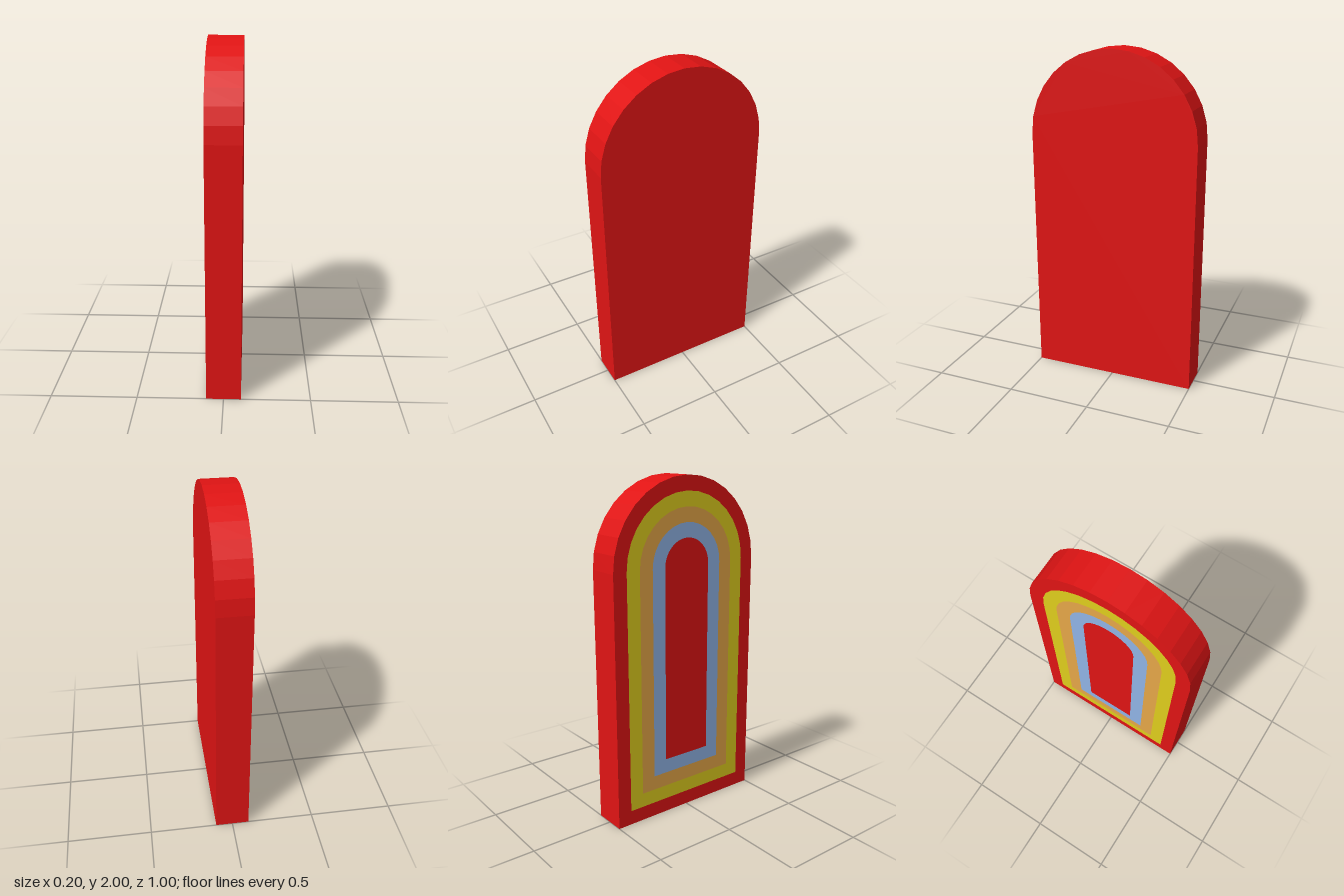
import * as THREE from 'three';

const HALF_DEPTH = 0.1, RADIUS = 0.5, SPRING = 1.5, SEGMENTS = 16, BAND = 0.086;

const material = (color) =>
  new THREE.MeshStandardMaterial({ color, flatShading: true, side: THREE.DoubleSide });

// Arch outline moved inwards by an inset: foot, half circle, foot
function archPoints(inset) {
  const r = RADIUS - inset;
  const points = [new THREE.Vector2(r, inset)];
  for (let i = 0; i <= SEGMENTS; i++) {
    const a = (Math.PI * i) / SEGMENTS;
    points.push(new THREE.Vector2(r * Math.cos(a), SPRING + r * Math.sin(a)));
  }
  points.push(new THREE.Vector2(-r, inset));
  return points;
}

// Flat arch panel on one side (+1 or -1 in x), optionally cut out to a ring
function panel(name, mat, side, inset, holeInset) {
  const shape = new THREE.Shape(archPoints(inset));
  if (holeInset !== undefined) shape.holes.push(new THREE.Path(archPoints(holeInset)));
  const geometry = new THREE.ShapeGeometry(shape);
  geometry.rotateY((side * Math.PI) / 2);
  geometry.translate(side * HALF_DEPTH, 0, 0);
  const mesh = new THREE.Mesh(geometry, mat);
  mesh.name = name;
  return mesh;
}

// Strip following the outer arch; the bottom stays open
function rim(mat) {
  const points = archPoints(0);
  const geometry = new THREE.PlaneGeometry(1, 1, points.length - 1, 1);
  const position = geometry.attributes.position;
  for (let i = 0; i < position.count; i++) {
    const p = points[i % points.length];
    position.setXYZ(i, i < points.length ? -HALF_DEPTH : HALF_DEPTH, p.y, p.x);
  }
  const flat = geometry.toNonIndexed();
  flat.computeVertexNormals();
  const mesh = new THREE.Mesh(flat, mat);
  mesh.name = 'archRim';
  return mesh;
}

export function createModel() {
  const group = new THREE.Group();
  group.name = 'archedPanel';
  const red = material(0xe01414);

  // Hollow body
  group.add(rim(red), panel('plainFace', red, 1, 0), panel('outerBorder', red, -1, 0, BAND));

  // Nested coloured bands flush with the decorated face
  const bands = [['yellowBand', 0xe0ce1d], ['orangeBand', 0xe6a748], ['blueBand', 0x91b4e6]];
  bands.forEach(([name, color], i) =>
    group.add(panel(name, material(color), -1, BAND * (i + 1), BAND * (i + 2))));
  group.add(panel('centrePanel', red, -1, BAND * 4));

  return group;
}
